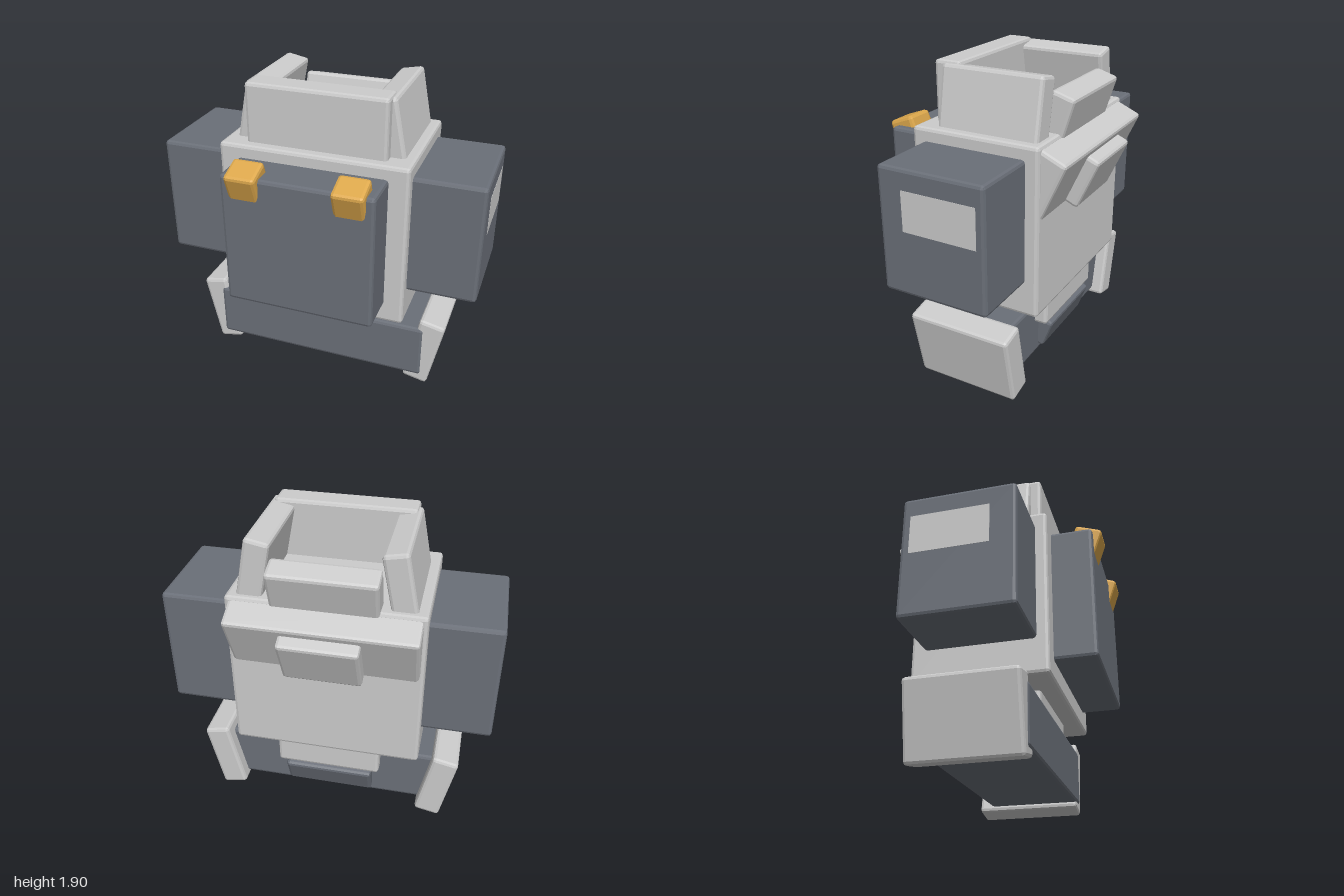
import * as THREE from 'three';
import { RoundedBoxGeometry } from 'three/addons/geometries/RoundedBoxGeometry.js';

const material = (color) => new THREE.MeshStandardMaterial({ color, flatShading: true });

export function createModel() {
  const model = new THREE.Group();
  const grey = material(0xcccccc);
  const dark = material(0x6a6f78);
  const amber = material(0xdda84c);

  // Box with chamfered edges; tilt is [x, z] in degrees
  function block(name, mat, size, pos, tilt = [0, 0], chamfer = 0.02) {
    const geometry = chamfer
      ? new RoundedBoxGeometry(...size, 1, chamfer)
      : new THREE.BoxGeometry(...size);
    const mesh = new THREE.Mesh(geometry, mat);
    mesh.name = name;
    mesh.position.set(...pos);
    mesh.rotation.set(THREE.MathUtils.degToRad(tilt[0]), 0, THREE.MathUtils.degToRad(tilt[1]));
    model.add(mesh);
  }

  // The same block on both sides
  function pair(name, mat, size, [x, y, z], [tx, tz] = [0, 0], chamfer) {
    block(name + 'Left', mat, size, [x, y, z], [tx, tz], chamfer);
    block(name + 'Right', mat, size, [-x, y, z], [tx, -tz], chamfer);
  }

  // Torso and chest
  block('torso', grey, [1.16, 1.04, 0.81], [0, 1.03, -0.055]);
  block('chestPlate', dark, [0.92, 0.84, 0.32], [0, 1.05, 0.44]);
  pair('chestClip', amber, [0.19, 0.3, 0.17], [0.315, 1.37, 0.524], [20, 0]);

  // Shoulder blocks with flat side markings
  pair('shoulder', dark, [0.46, 0.75, 0.66], [0.77, 1.095, -0.05]);
  pair('shoulderMark', grey, [0.02, 0.24, 0.46], [0.9915, 1.23, -0.1], [0, 0], 0);

  // Open collar around the neck
  block('collarFront', grey, [0.86, 0.46, 0.17], [0, 1.68, 0.2]);
  pair('collarSide', grey, [0.15, 0.5, 0.64], [0.425, 1.64, -0.1], [0, 11]);
  block('collarBack', grey, [0.63, 0.4, 0.15], [0, 1.58, -0.407], [-17, 0]);

  // Sloping plates on the back
  block('backPlate', grey, [1.11, 0.4, 0.2], [0, 1.32, -0.438], [-24, 0]);
  block('backPanel', grey, [0.47, 0.33, 0.1], [0, 1.255, -0.55], [-24, 0]);

  // Waist and hips
  block('waist', grey, [0.66, 0.3, 0.64], [0, 0.45, -0.08]);
  block('hips', dark, [1.4, 0.36, 0.582], [0, 0.25, -0.029]);
  block('rearFlap', dark, [0.56, 0.2, 0.12], [0, 0.21, -0.325], [-20, 0]);
  pair('hipGuard', grey, [0.165, 0.465, 0.655], [0.705, 0.25, -0.0725], [0, -12]);

  return model;
}
